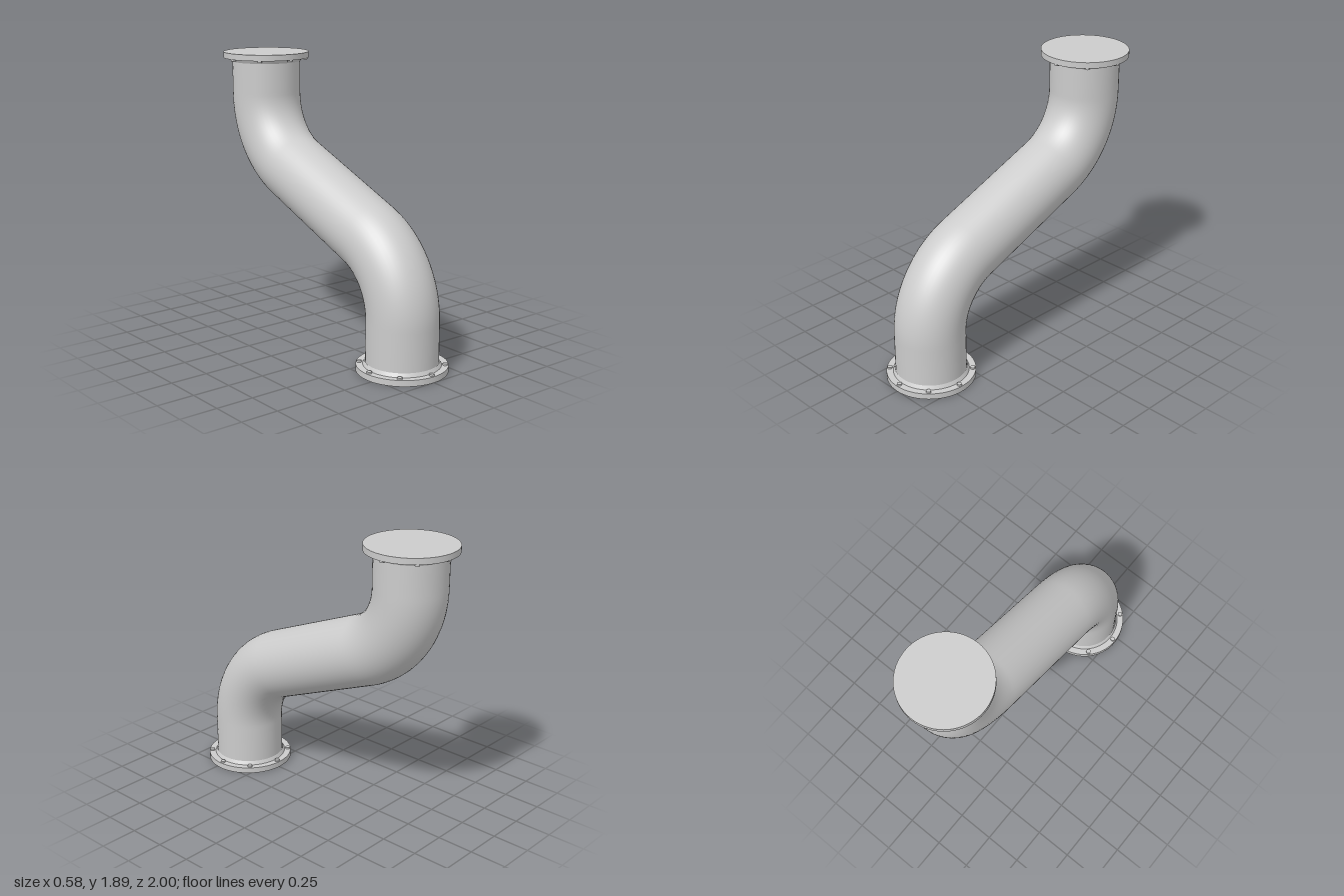
import * as THREE from 'three';

const OFFSET = 0.71, HEIGHT = 1.89, MID_Y = 0.968;
const PIPE_R = 0.232, FLANGE_R = 0.292, FLANGE_H = 0.04;
const BEND_R = 0.53, SLOPE = 0.41;

// Centre line: vertical, bend, slanted run, bend, vertical
function pipePath() {
  const v = (y, z) => new THREE.Vector3(0, y, z);
  const up = v(1, 0);
  const run = v(SLOPE, -1).normalize();
  const angle = up.angleTo(run);
  const cut = BEND_R * Math.tan(angle / 2);
  const handle = BEND_R * (4 / 3) * Math.tan(angle / 4);
  const path = new THREE.CurvePath();
  let last = v(FLANGE_H / 2, OFFSET);

  const bend = (corner, dirIn, dirOut) => {
    const a = corner.clone().addScaledVector(dirIn, -cut);
    const b = corner.clone().addScaledVector(dirOut, cut);
    path.add(new THREE.LineCurve3(last, a));
    path.add(new THREE.CubicBezierCurve3(
      a, a.clone().addScaledVector(dirIn, handle),
      b.clone().addScaledVector(dirOut, -handle), b));
    last = b;
  };
  bend(v(MID_Y - SLOPE * OFFSET, OFFSET), up, run);
  bend(v(MID_Y + SLOPE * OFFSET, -OFFSET), run, up);
  path.add(new THREE.LineCurve3(last, v(HEIGHT - FLANGE_H / 2, -OFFSET)));
  return path;
}

// Blind flange with weld collar and bolt heads, facing up from y = 0
function makeFlange(name, material) {
  const group = new THREE.Group();
  group.name = name;
  const add = (geometry, partName, x, y, z) => {
    const mesh = new THREE.Mesh(geometry, material);
    mesh.name = partName;
    mesh.position.set(x, y, z);
    group.add(mesh);
  };
  add(new THREE.CylinderGeometry(FLANGE_R, FLANGE_R, FLANGE_H, 64), 'flangeDisc', 0, FLANGE_H / 2, 0);
  add(new THREE.CylinderGeometry(PIPE_R + 0.003, PIPE_R + 0.016, 0.024, 64, 1, true),
    'weldCollar', 0, FLANGE_H + 0.012, 0);
  const bolt = new THREE.CylinderGeometry(0.016, 0.016, 0.012, 16);
  for (let i = 0; i < 8; i++) {
    const a = i * Math.PI / 4;
    add(bolt, 'bolt', 0.271 * Math.cos(a), FLANGE_H + 0.006, 0.271 * Math.sin(a));
  }
  return group;
}

export function createModel() {
  const model = new THREE.Group();
  model.name = 'offsetPipe';
  const material = new THREE.MeshStandardMaterial({ color: 0xcccccc });

  const pipe = new THREE.Mesh(new THREE.TubeGeometry(pipePath(), 100, PIPE_R, 48), material);
  pipe.name = 'pipe';
  model.add(pipe);

  const bottom = makeFlange('bottomFlange', material);
  bottom.position.z = OFFSET;
  model.add(bottom);

  const top = makeFlange('topFlange', material);
  top.rotation.x = Math.PI;
  top.position.set(0, HEIGHT, -OFFSET);
  model.add(top);

  return model;
}
